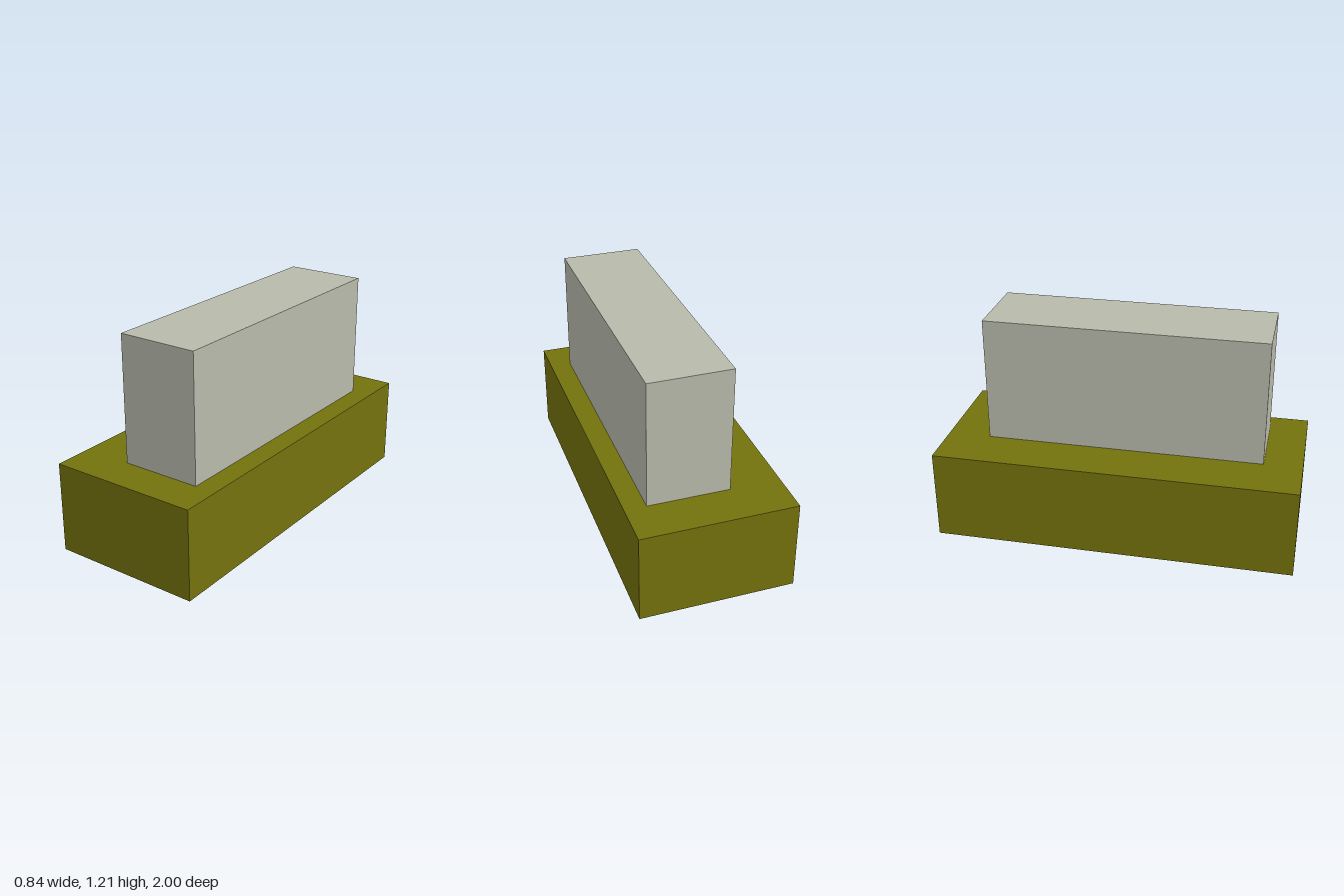
import * as THREE from 'three';

const olive = new THREE.MeshStandardMaterial({ color: 0x74720d });
olive.name = 'olive';
const paleGrey = new THREE.MeshStandardMaterial({ color: 0xb8baab });
paleGrey.name = 'paleGrey';

// Box given by its extents along each axis
function block(name, material, [x0, x1], [y0, y1], [z0, z1]) {
  const mesh = new THREE.Mesh(new THREE.BoxGeometry(x1 - x0, y1 - y0, z1 - z0), material);
  mesh.position.set((x0 + x1) / 2, (y0 + y1) / 2, (z0 + z1) / 2);
  mesh.name = name;
  return mesh;
}

export function createModel() {
  const group = new THREE.Group();
  group.name = 'steppedBlock';
  group.add(
    // Wide lower block
    block('base', olive, [-0.422, 0.422], [0, 0.505], [-1, 1]),
    // Narrow upper block, set off-centre
    block('upperBlock', paleGrey, [-0.144, 0.304], [0.505, 1.208], [-0.76, 0.788]),
  );
  return group;
}
